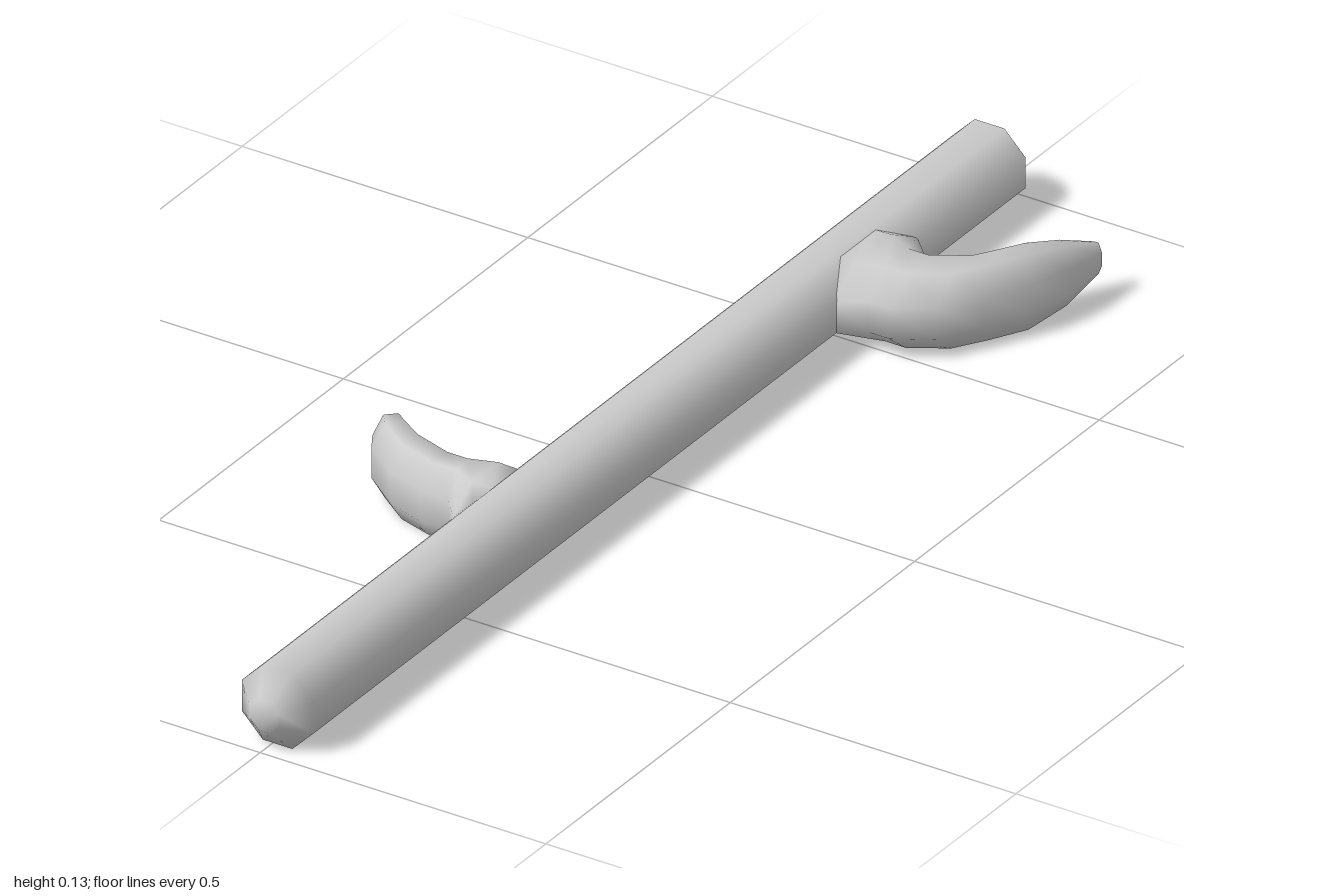
import * as THREE from 'three';

const SIDES = 8;
const MID = 0.0635; // height of the centre line

// Skin over upright octagonal sections. Each row is [x1, z1, x2, z2, halfHeight]:
// the two horizontal extremes of the section and its half height.
function loft(name, rows, material) {
  const pos = [], index = [];
  const flat = Math.cos(Math.PI / SIDES);
  for (const [x1, z1, x2, z2, h] of rows) {
    for (let j = 0; j < SIDES; j++) {
      const a = ((j + 0.5) / SIDES) * Math.PI * 2;
      const u = Math.cos(a) / flat / 2, v = Math.sin(a) / flat;
      pos.push((x1 + x2) / 2 + (x2 - x1) * u, MID + h * v, (z1 + z2) / 2 + (z2 - z1) * u);
    }
  }
  for (let i = 0; i < rows.length - 1; i++) {
    for (let j = 0; j < SIDES; j++) {
      const k = (j + 1) % SIDES;
      const a = i * SIDES + j, b = i * SIDES + k;
      index.push(a, b, b + SIDES, a, b + SIDES, a + SIDES);
    }
  }
  // end caps share vertices with the sides so the ends shade smoothly
  const last = (rows.length - 1) * SIDES;
  for (let j = 1; j < SIDES - 1; j++) {
    index.push(0, j + 1, j, last, last + j, last + j + 1);
  }
  const geo = new THREE.BufferGeometry();
  geo.setAttribute('position', new THREE.Float32BufferAttribute(pos, 3));
  geo.setIndex(index);
  geo.computeVertexNormals();
  const mesh = new THREE.Mesh(geo, material);
  mesh.name = name;
  return mesh;
}

export function createModel() {
  const group = new THREE.Group();
  group.name = 'stick';
  const wood = new THREE.MeshStandardMaterial({ color: 0xcccccc });

  // long straight stem with bevelled ends
  const stem = [[-1, 0.026], [-0.965, 0.0625], [0.965, 0.0625], [1, 0.026]].map(
    ([z, r]) => [0.008 - r, z, 0.008 + r, z, r === 0.0625 ? MID : r]);
  group.add(loft('stem', stem, wood));

  // large twig sweeping towards the back
  group.add(loft('leftTwig', [
    [0.03, -0.45, 0.03, -0.68, 0.061],
    [0.065, -0.45, 0.065, -0.68, 0.062],
    [0.11, -0.48, 0.11, -0.635, 0.063],
    [0.145, -0.48, 0.145, -0.635, 0.063],
    [0.205, -0.515, 0.195, -0.668, 0.063],
    [0.245, -0.58, 0.208, -0.685, MID],
    [0.283, -0.65, 0.228, -0.715, MID],
    [0.302, -0.73, 0.255, -0.76, 0.05],
    [0.305, -0.81, 0.285, -0.81, 0.026],
  ], wood));

  // small curved twig on the other side
  group.add(loft('rightTwig', [
    [-0.02, 0.22, -0.02, 0.39, 0.061],
    [-0.055, 0.22, -0.055, 0.39, 0.062],
    [-0.1, 0.26, -0.092, 0.35, 0.063],
    [-0.13, 0.26, -0.14, 0.35, 0.063],
    [-0.195, 0.24, -0.205, 0.33, MID],
    [-0.225, 0.225, -0.27, 0.28, MID],
    [-0.25, 0.207, -0.291, 0.245, 0.056],
    [-0.275, 0.19, -0.305, 0.207, 0.026],
  ], wood));

  return group;
}
